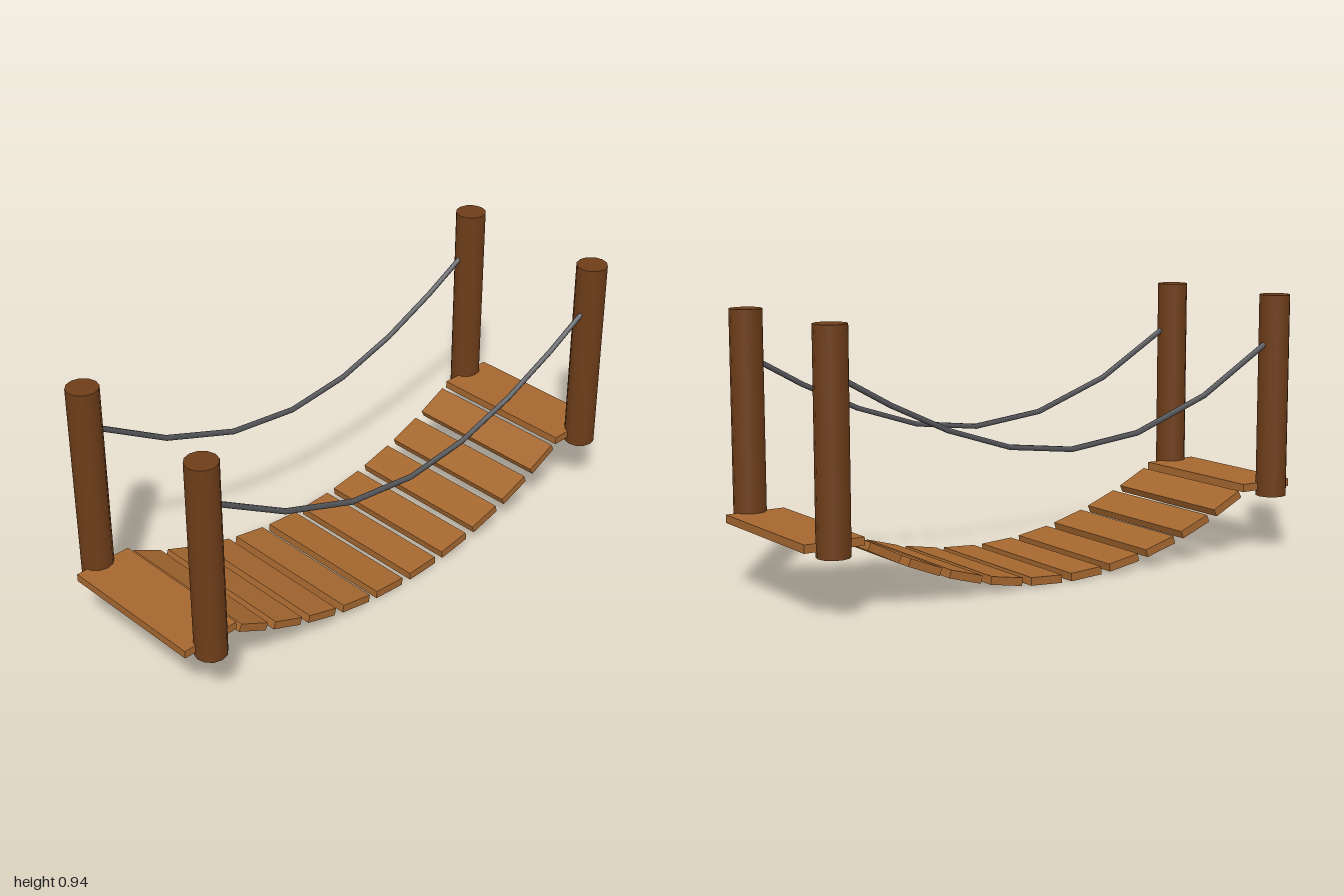
import * as THREE from 'three';

const plankMat = new THREE.MeshStandardMaterial({ color: 0xa5672f });
const postMat = new THREE.MeshStandardMaterial({ color: 0x6e3d19 });
const ropeMat = new THREE.MeshStandardMaterial({ color: 0x55565a });

const WIDTH = 0.56;
const THICK = 0.028;

// Straight segments between points, one tube ring per point
class Polyline extends THREE.Curve {
  constructor(points) {
    super();
    this.points = points;
  }
  getPoint(t, target = new THREE.Vector3()) {
    const n = this.points.length - 1;
    const i = Math.min(Math.floor(t * n), n - 1);
    return target.lerpVectors(this.points[i], this.points[i + 1], t * n - i);
  }
  getUtoTmapping(u) {
    return u;
  }
}

function addMesh(parent, name, geometry, material, x, y, z) {
  const mesh = new THREE.Mesh(geometry, material);
  mesh.name = name;
  mesh.position.set(x, y, z);
  parent.add(mesh);
  return mesh;
}

export function createModel() {
  const bridge = new THREE.Group();
  bridge.name = 'ropeBridge';

  // Sagging deck: ten planks tilted along a parabola
  const deck = new THREE.Group();
  deck.name = 'deck';
  bridge.add(deck);
  const sag = 0.35;
  const plankGeo = new THREE.BoxGeometry(WIDTH, THICK, 0.127);
  for (const z of [0.083, 0.245, 0.406, 0.562, 0.712]) {
    for (const s of [-1, 1]) {
      const plank = addMesh(deck, 'plank', plankGeo, plankMat, 0, 0.0145 + sag * z * z, s * z);
      plank.rotation.x = -s * Math.atan(2 * sag * z);
    }
  }

  // Level landing and two posts at each end
  const landingGeo = new THREE.BoxGeometry(WIDTH, THICK, 0.215);
  const postGeo = new THREE.CylinderGeometry(0.056, 0.056, 0.733, 12);
  for (const s of [-1, 1]) {
    const end = s > 0 ? 'front' : 'back';
    addMesh(bridge, end + 'Landing', landingGeo, plankMat, 0, 0.24, s * 0.8925);
    for (const x of [-0.293, 0.293]) {
      addMesh(bridge, end + (x > 0 ? 'LeftPost' : 'RightPost'), postGeo, postMat, x, 0.5725, s * 0.904);
    }
  }

  // Hand ropes hanging between the posts, as [z, y]
  const ropePoints = [
    [0.9, 0.788], [0.578, 0.598], [0.283, 0.492], [0.005, 0.461],
    [-0.246, 0.492], [-0.481, 0.568], [-0.695, 0.668], [-0.9, 0.782],
  ].map(([z, y]) => new THREE.Vector3(0, y, z));
  const ropeGeo = new THREE.TubeGeometry(new Polyline(ropePoints), ropePoints.length - 1, 0.01, 6);
  for (const x of [-0.298, 0.298]) {
    addMesh(bridge, x > 0 ? 'leftHandRope' : 'rightHandRope', ropeGeo, ropeMat, x, 0, 0);
  }

  return bridge;
}
